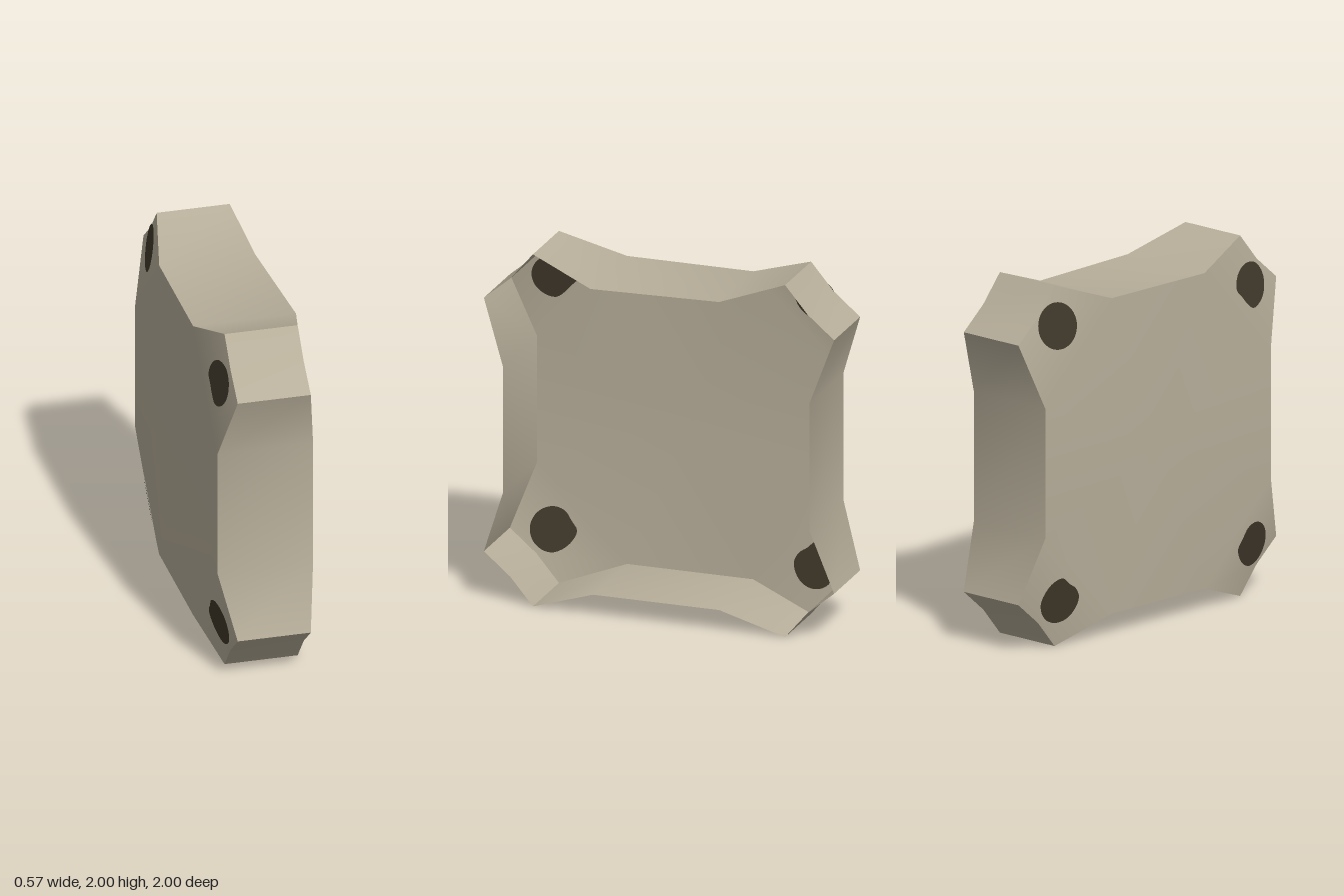
import * as THREE from 'three';

const shellMat = new THREE.MeshStandardMaterial({ color: 0xb7ae9a, side: THREE.DoubleSide });
shellMat.name = 'beige shell';
const spotMat = new THREE.MeshStandardMaterial({ color: 0x40382a, side: THREE.DoubleSide });
spotMat.name = 'dark spot';

const FLOOR = -0.285, CORNER = -0.205;

function makeMesh(name, positions, index, material) {
  const geo = new THREE.BufferGeometry();
  geo.setAttribute('position', new THREE.Float32BufferAttribute(positions, 3));
  geo.setIndex(index);
  geo.computeVertexNormals();
  const mesh = new THREE.Mesh(geo, material);
  mesh.name = name;
  return mesh;
}

// One quarter of the outline: z, height from centre, floor x, rim x
const quarter = [
  [1, -0.72, CORNER, 0.2],
  [0.875, -0.36, FLOOR, 0.245],
  [0.875, 0.36, FLOOR, 0.245],
  [1, 0.72, CORNER, 0.2],
  [0.848, 0.848, CORNER, 0.2],
];

function buildOutline() {
  const pts = [];
  for (let q = 0; q < 4; q++) {
    for (const [z, h, floor, rim] of quarter) {
      let u = z, v = h;
      for (let i = 0; i < q; i++) [u, v] = [-v, u];
      pts.push({ z: u, y: v + 1, floor, rim });
    }
  }
  pts[6].rim = 0.285; // one raised point on the top rim
  return pts;
}

// Wall strip between two outline points, smooth along its length
function wallStrip(name, pts) {
  const pos = [], index = [];
  pts.forEach((p, i) => {
    pos.push(p.floor, p.y, p.z, p.rim, p.y, p.z);
    if (i > 0) {
      const a = 2 * (i - 1);
      index.push(a, a + 1, a + 3, a, a + 3, a + 2);
    }
  });
  return makeMesh(name, pos, index, shellMat);
}

// Flat middle with four bent corners
function floorPlate(pts) {
  const pos = [FLOOR, 1, 0], index = [];
  pts.forEach((p) => pos.push(p.floor, p.y, p.z));
  const id = (i) => 1 + (i % pts.length);
  for (let q = 0; q < 4; q++) {
    const s = q * 5;
    index.push(0, id(s + 1), id(s + 2), 0, id(s + 2), id(s + 6));
    for (let k = 3; k < 6; k++) index.push(id(s + 2), id(s + k), id(s + k + 1));
  }
  return makeMesh('floorPlate', pos, index, shellMat);
}

// Irregular round spots: centre z, centre y, radius every 30 degrees
const spots = [
  ['upperFrontSpot', 0.757, 1.727, [13, 13, 12.5, 12.2, 12.5, 12.5, 12.5, 12.5, 12.5, 12.5, 10.3, 10]],
  ['upperBackSpot', -0.735, 1.785, Array(12).fill(12.7)],
  ['lowerFrontSpot', 0.767, 0.287, [13, 11, 12, 12.5, 12.5, 12.5, 12.5, 12.5, 12.5, 12.5, 11.8, 12]],
  ['lowerBackSpot', -0.725, 0.262, [12.8, 12.2, 12.5, 12.7, 10, 11, 12.5, 12.5, 12.7, 12.7, 12.7, 12.7]],
];

function spotPlate(name, z, y, radii, offset) {
  const slope = (zz, yy) =>
    FLOOR + (CORNER - FLOOR) * Math.max(0, (Math.abs(zz) + Math.abs(yy - 1) - 1.235) / 0.485) + offset;
  const ring = radii.map((r, i) => {
    const a = (i * Math.PI) / 6;
    return new THREE.Vector3(0, y + (r / 100) * Math.sin(a), z - (r / 100) * Math.cos(a));
  });
  const n = 40;
  const edge = new THREE.CatmullRomCurve3(ring, true).getPoints(n).slice(0, n);
  const pos = [slope(z, y), y, z], index = [];
  edge.forEach((p, i) => {
    pos.push(slope(p.z, p.y), p.y, p.z);
    const a = 1 + i, b = 1 + ((i + 1) % n);
    // outward copy faces -x, inner copy faces +x
    if (offset > 0) index.push(0, a, b);
    else index.push(0, b, a);
  });
  return makeMesh(name, pos, index, spotMat);
}

export function createModel() {
  const group = new THREE.Group();
  group.name = 'openTray';
  const pts = buildOutline();
  group.add(floorPlate(pts));

  // Four long walls and four corner walls
  const sides = ['front', 'top', 'back', 'bottom'];
  const at = (i) => pts[i % pts.length];
  sides.forEach((side, q) => {
    const s = q * 5;
    group.add(wallStrip(side + 'Wall', [0, 1, 2, 3].map((k) => at(s + k))));
    group.add(wallStrip(side + 'CornerWall', [3, 4, 5].map((k) => at(s + k))));
  });

  // Spots on both faces of the floor
  for (const [name, z, y, radii] of spots) {
    group.add(spotPlate(name + 'Outer', z, y, radii, -0.004));
    group.add(spotPlate(name + 'Inner', z, y, radii, 0.004));
  }
  return group;
}
